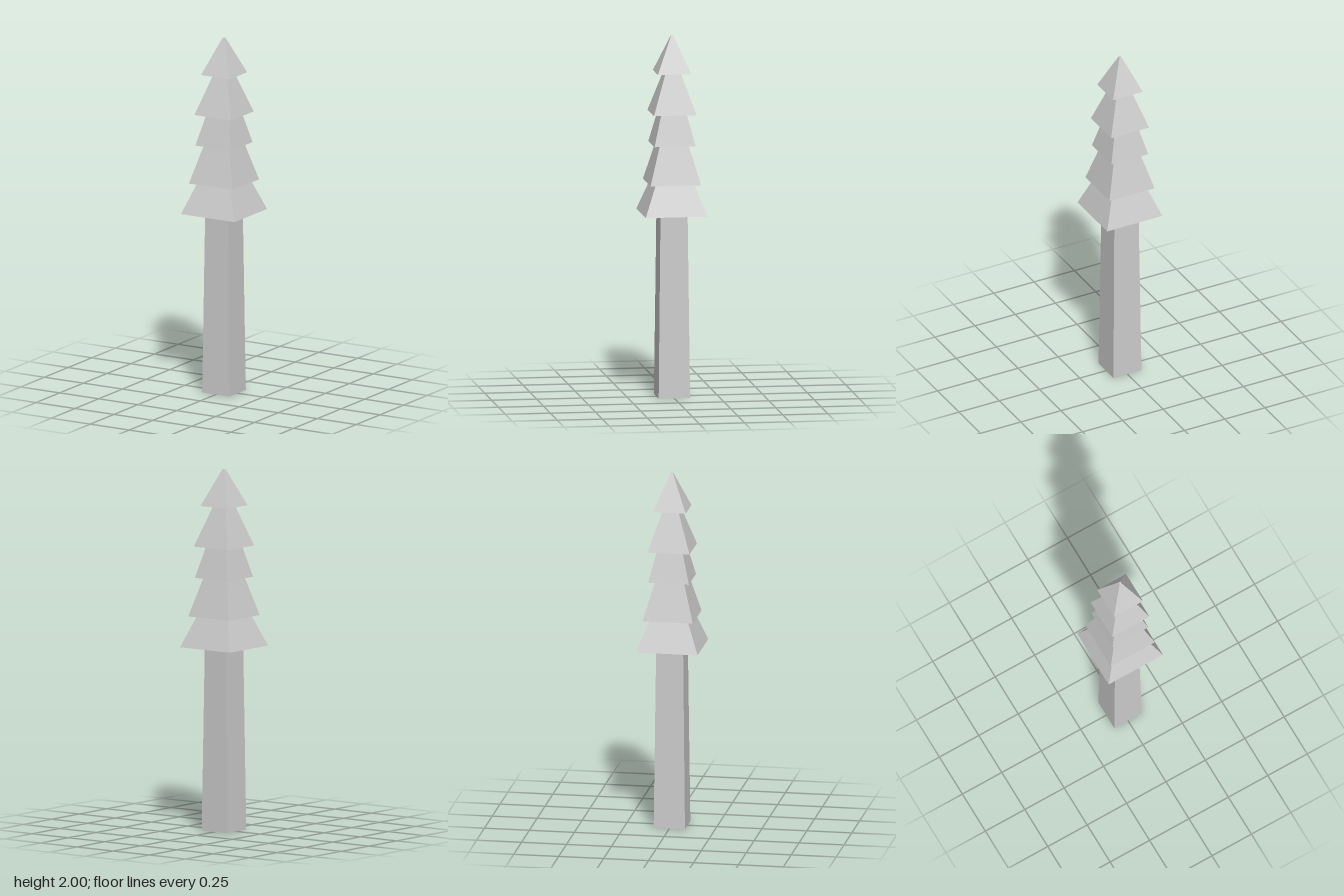
import * as THREE from 'three';

const material = new THREE.MeshStandardMaterial({ color: 0xcccccc, flatShading: true, side: THREE.DoubleSide });

// Square frustum with sides parallel to x and z; bottom and top are half widths
function frustum(name, y0, y1, bottom, top, open) {
  const geometry = new THREE.CylinderGeometry(top * Math.SQRT2, bottom * Math.SQRT2, y1 - y0, 4, 1, open);
  geometry.rotateY(Math.PI / 4);
  geometry.translate(0, (y0 + y1) / 2, 0);
  const mesh = new THREE.Mesh(geometry, material);
  mesh.name = name;
  return mesh;
}

export function createModel() {
  const tree = new THREE.Group();
  tree.name = 'pineTree';

  // Tapered square trunk, reaching up inside the lowest tier
  tree.add(frustum('trunk', 0, 1.12, 0.087, 0.074, false));

  // Hollow foliage tiers: bottom y, bottom half width, y and half width where the next tier begins
  const tiers = [
    [1.017, 0.172, 1.187, 0.106],
    [1.187, 0.14, 1.4, 0.08],
    [1.4, 0.114, 1.573, 0.07],
    [1.573, 0.118, 1.797, 0.042],
  ];
  const overlap = 0.04;
  tiers.forEach(([y0, w0, y1, w1], i) => {
    const inner = w1 - ((w0 - w1) / (y1 - y0)) * overlap;
    tree.add(frustum(`foliageTier${i + 1}`, y0, y1 + overlap, w0, inner, true));
  });

  // Top tier with a tiny flat tip
  tree.add(frustum('foliageTop', 1.797, 2, 0.092, 0.006, true));
  const tip = new THREE.Mesh(new THREE.PlaneGeometry(0.012, 0.012).rotateX(-Math.PI / 2), material);
  tip.position.y = 2;
  tip.name = 'tip';
  tree.add(tip);

  return tree;
}
